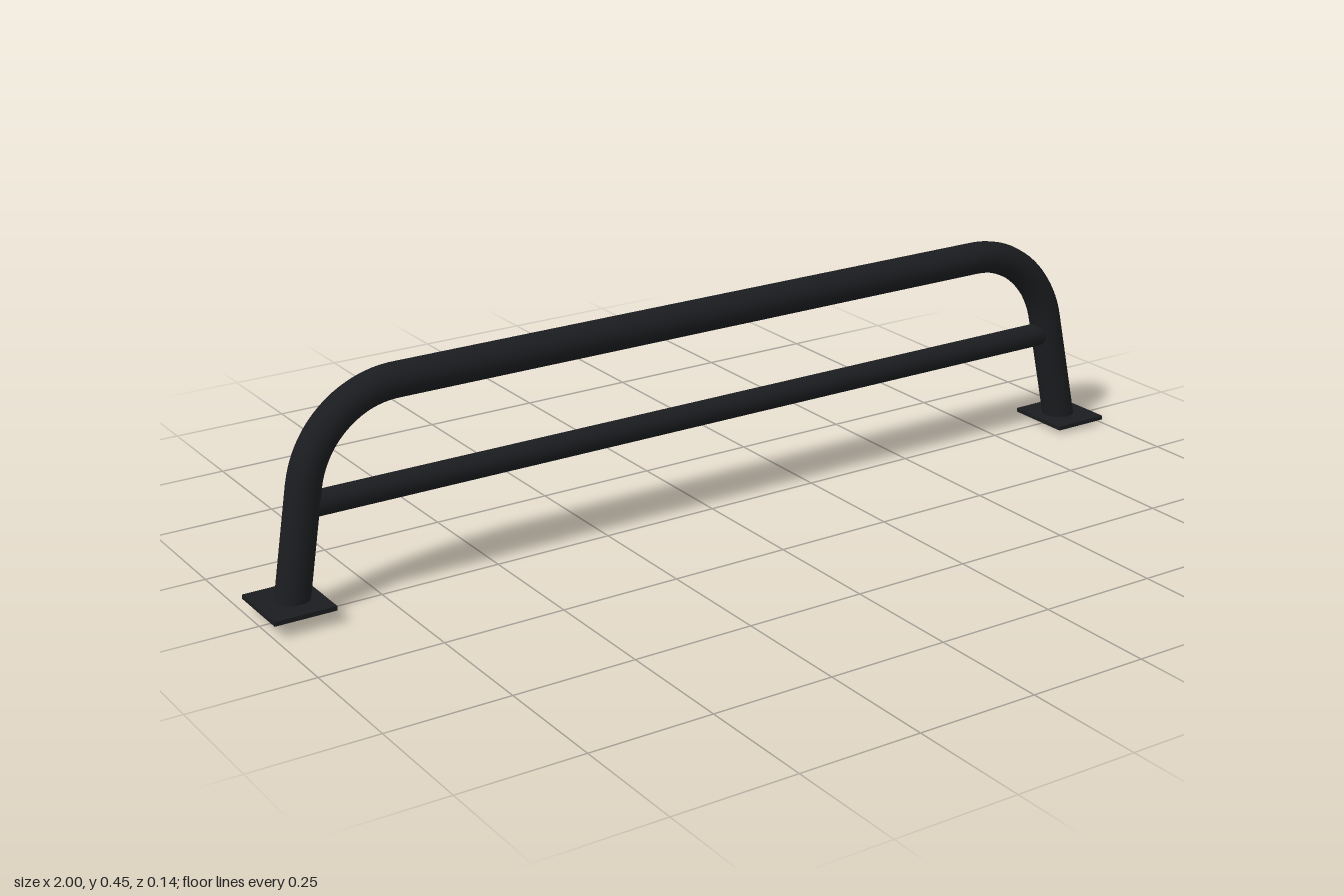
import * as THREE from 'three';

const material = new THREE.MeshStandardMaterial({ color: 0x1a1c1f });
const TUBE_RADIUS = 0.034;

// Point in the plane of the hoop, which leans slightly to the back
const onHoop = (x, y) => new THREE.Vector3(x, y, -0.001 - 0.05 * y);
// Point on the splayed leg of one side at a given height
const onLeg = (side, y) => onHoop(side * (0.937 - 0.19 * y), y);

function add(parent, name, geometry) {
  const mesh = new THREE.Mesh(geometry, material);
  mesh.name = name;
  parent.add(mesh);
  return mesh;
}

export function createModel() {
  const group = new THREE.Group();
  group.name = 'hoopBar';

  const feet = { '-1': 0.029, '1': 0.007 };
  const topY = 0.413, bendY = 0.247, bendX = 0.69;

  // Hoop: leg, bend, straight top, bend, leg
  const bend = (side) => {
    const corner = onLeg(side, topY);
    const low = onLeg(side, bendY), high = onHoop(side * bendX, topY);
    return [low, low.clone().lerp(corner, 0.58), high.clone().lerp(corner, 0.58), high];
  };
  const a = bend(-1), b = bend(1).reverse();
  const path = new THREE.CurvePath();
  path.add(new THREE.LineCurve3(onLeg(-1, feet[-1]), a[0]));
  path.add(new THREE.CubicBezierCurve3(...a));
  path.add(new THREE.LineCurve3(a[3], b[0]));
  path.add(new THREE.CubicBezierCurve3(...b));
  path.add(new THREE.LineCurve3(b[3], onLeg(1, feet[1])));
  add(group, 'hoop', new THREE.TubeGeometry(path, 160, TUBE_RADIUS, 20, false));

  // Crossbar between the legs
  const barY = 0.21;
  const bar = add(group, 'crossbar', new THREE.CylinderGeometry(0.025, 0.025, 1.82, 20));
  bar.rotation.z = Math.PI / 2;
  bar.position.copy(onHoop(0, barY));

  for (const side of [-1, 1]) {
    const label = side > 0 ? 'left' : 'right';
    // Closed lower end of the leg
    const end = onLeg(side, feet[side]);
    const down = end.clone().sub(onLeg(side, bendY)).normalize();
    const cap = add(group, label + 'LegEnd', new THREE.CircleGeometry(TUBE_RADIUS, 20));
    cap.position.copy(end);
    cap.quaternion.setFromUnitVectors(new THREE.Vector3(0, 0, 1), down);
    // Mounting plate around the leg
    const plate = add(group, label + 'MountingPlate', new THREE.BoxGeometry(0.125, 0.009, 0.144));
    plate.position.set(side * 0.9375, side > 0 ? 0.0125 : 0.0325, 0);
  }
  return group;
}
